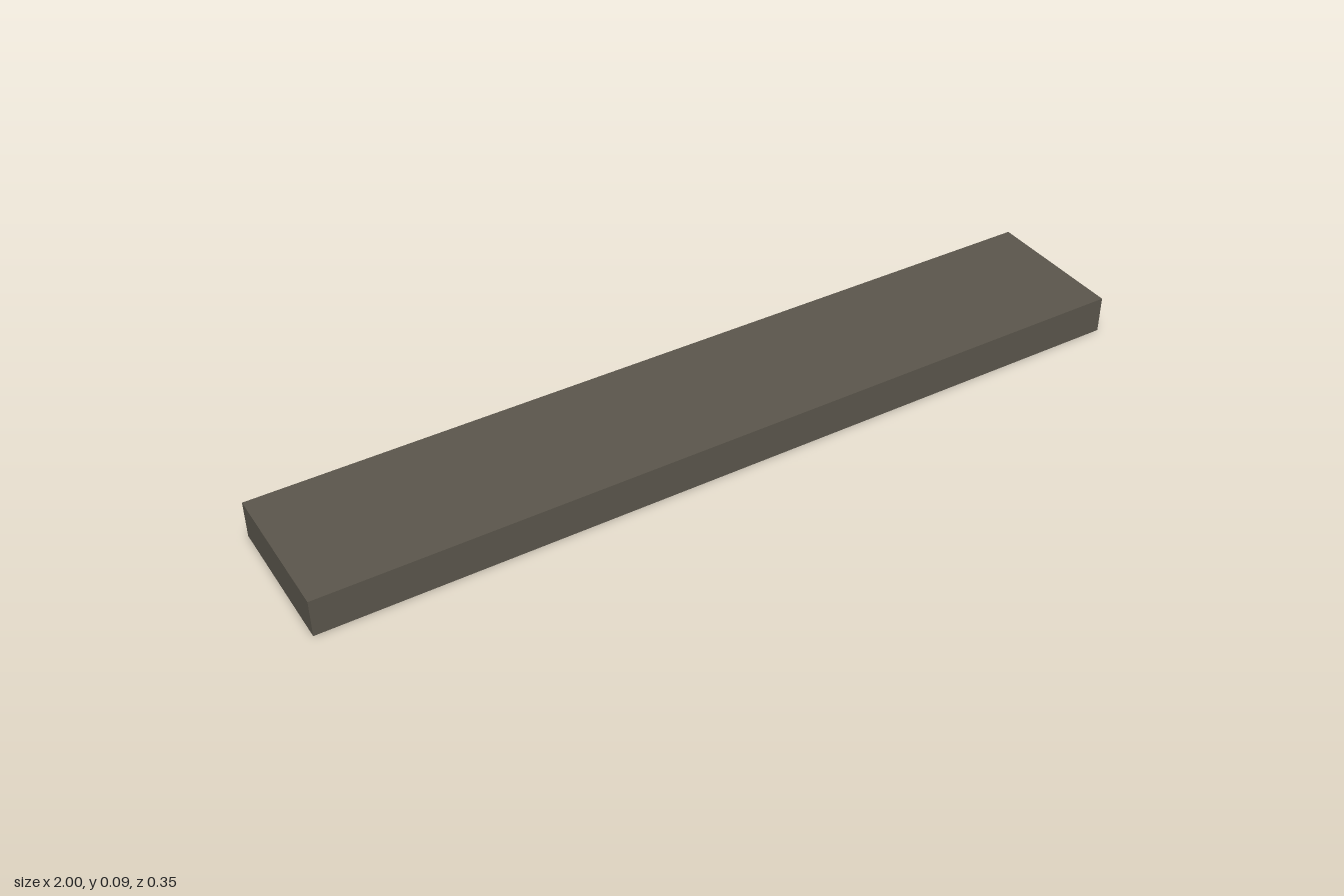
import * as THREE from 'three';

const LENGTH = 2, DEPTH = 0.35, HEIGHT = 0.09;
const COUNT = 9, PITCH = 0.2175, PANEL_X = 0.175, PANEL_Z = 0.27, RADIUS = 0.02;
const RECESS = 0.006;

// Rounded rectangle outline, usable as a shape or as a hole
function roundedRect(path, cx, w, h, r) {
  const x = w / 2 - r, y = h / 2 - r;
  path.absarc(cx + x, y, r, 0, Math.PI / 2);
  path.absarc(cx - x, y, r, Math.PI / 2, Math.PI);
  path.absarc(cx - x, -y, r, Math.PI, Math.PI * 1.5);
  path.absarc(cx + x, -y, r, Math.PI * 1.5, Math.PI * 2);
  path.closePath();
  return path;
}

export function createModel() {
  const model = new THREE.Group();
  model.name = 'lightBar';
  const housingMat = new THREE.MeshStandardMaterial({ name: 'housing brown grey', color: 0x5c574d });
  const panelMat = new THREE.MeshStandardMaterial({ name: 'panel light grey', color: 0xc4c4c4 });

  const add = (name, geometry, material) => {
    const mesh = new THREE.Mesh(geometry, material);
    mesh.name = name;
    model.add(mesh);
    return mesh;
  };

  // Solid upper housing
  add('housing', new THREE.BoxGeometry(LENGTH, HEIGHT - RECESS, DEPTH), housingMat)
    .position.y = (HEIGHT + RECESS) / 2;

  // Underside frame with one opening per panel
  const frame = new THREE.Shape();
  frame.moveTo(-LENGTH / 2, -DEPTH / 2);
  frame.lineTo(LENGTH / 2, -DEPTH / 2);
  frame.lineTo(LENGTH / 2, DEPTH / 2);
  frame.lineTo(-LENGTH / 2, DEPTH / 2);
  frame.closePath();

  for (let i = 0; i < COUNT; i++) {
    const cx = (i - (COUNT - 1) / 2) * PITCH;
    frame.holes.push(roundedRect(new THREE.Path(), cx, PANEL_X, PANEL_Z, RADIUS));
    // Light panel set just inside its opening, facing down
    const face = new THREE.ShapeGeometry(roundedRect(new THREE.Shape(), cx, PANEL_X, PANEL_Z, RADIUS), 6);
    add('lightPanel' + (i + 1), face.rotateX(Math.PI / 2), panelMat).position.y = RECESS - 0.002;
  }

  const frameGeo = new THREE.ExtrudeGeometry(frame, { depth: RECESS, bevelEnabled: false, curveSegments: 6 });
  add('undersideFrame', frameGeo.rotateX(-Math.PI / 2), housingMat);
  return model;
}
